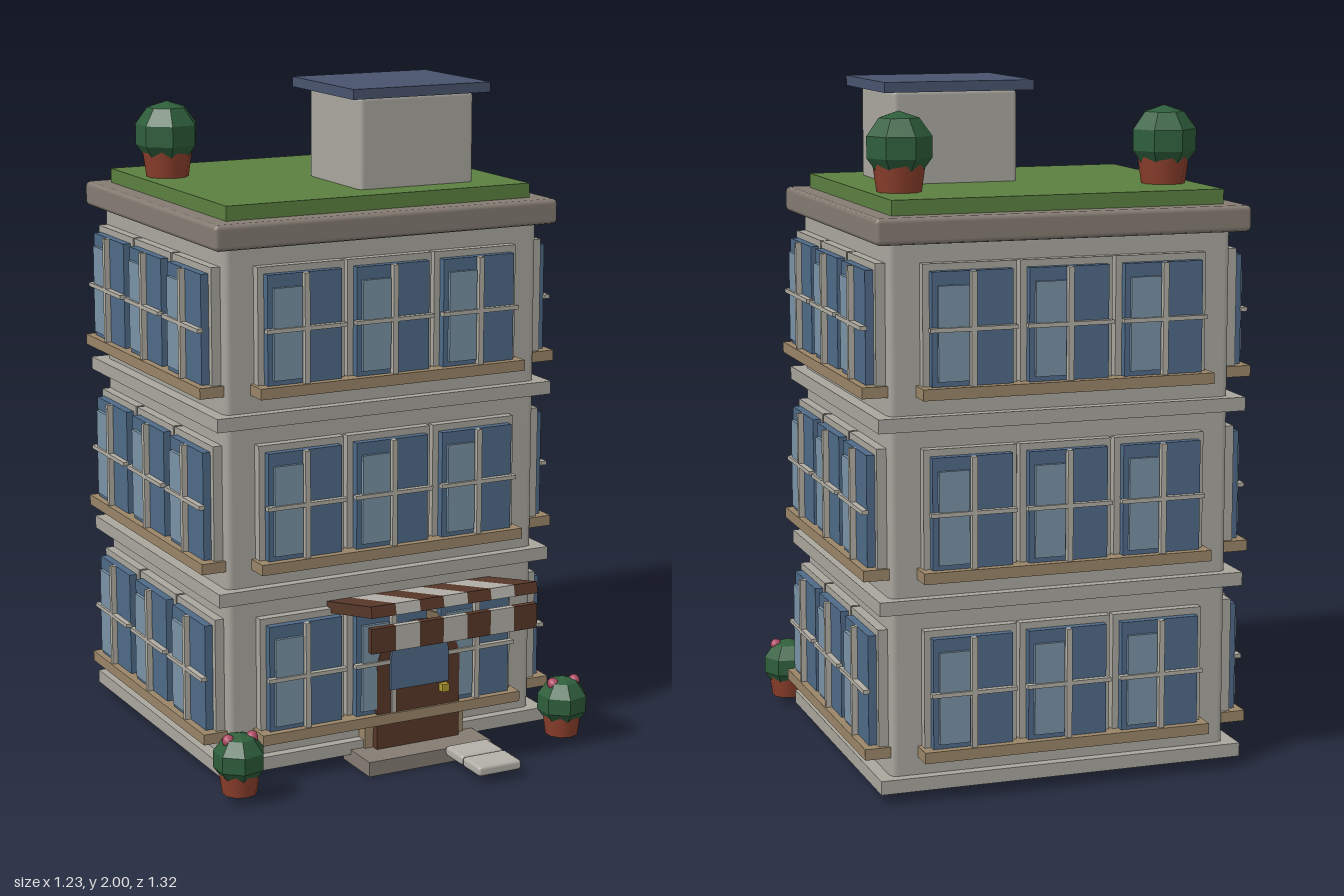
import * as THREE from 'three';
import { RoundedBoxGeometry } from 'three/addons/geometries/RoundedBoxGeometry.js';

const mat = (color, extra = {}) => new THREE.MeshStandardMaterial({ color, ...extra });
const M = {
  wall: mat(0xaaa79f), trim: mat(0xa9a69d), cornice: mat(0x857c73), sill: mat(0x9a8668),
  glass: mat(0x4f6a88), lightGlass: mat(0x7a93a6), bar: mat(0xb2aea4), brown: mat(0x583829),
  cream: mat(0xb4b1a9), grass: mat(0x5b8040), roof: mat(0x48546e), pot: mat(0x8c3f2c),
  leaf: mat(0x2e5e3b, { flatShading: true }), flower: mat(0xb04a64), brass: mat(0xb09a30),
};

function add(parent, name, geometry, material, x = 0, y = 0, z = 0) {
  const mesh = new THREE.Mesh(geometry, material);
  mesh.name = name;
  mesh.position.set(x, y, z);
  parent.add(mesh);
  return mesh;
}

// box given by its min and max on each axis, with an optional chamfer
function block(parent, name, material, [x0, x1], [y0, y1], [z0, z1], bevel = 0) {
  const s = [x1 - x0, y1 - y0, z1 - z0];
  const geo = bevel ? new RoundedBoxGeometry(...s, 1, bevel) : new THREE.BoxGeometry(...s);
  return add(parent, name, geo, material, (x0 + x1) / 2, (y0 + y1) / 2, (z0 + z1) / 2);
}

function group(parent, name, x = 0, y = 0, z = 0) {
  const g = new THREE.Group();
  g.name = name;
  g.position.set(x, y, z);
  parent.add(g);
  return g;
}

// one window, centred on its glass, with the wall at z = 0
function addWindow(parent, x, y) {
  const w = group(parent, 'window', x, y, 0);
  block(w, 'windowFrame', M.trim, [-0.137, 0.137], [-0.175, 0.18], [-0.01, 0.028]);
  block(w, 'windowGlass', M.glass, [-0.118, 0.118], [-0.16, 0.16], [0.02, 0.052]);
  block(w, 'lightPane', M.lightGlass, [-0.102, -0.012], [-0.145, 0.122], [0.05, 0.062]);
  block(w, 'windowMullion', M.bar, [-0.008, 0.008], [-0.16, 0.16], [0.05, 0.069]);
  block(w, 'windowCrossbar', M.bar, [-0.127, 0.127], [-0.006, 0.006], [0.05, 0.069]);
}

// arched panel: straight sides up to the spring line, then a half circle
function arch(radius, bottom, spring, depth) {
  const s = new THREE.Shape();
  s.moveTo(-radius, bottom);
  s.lineTo(radius, bottom);
  s.lineTo(radius, spring);
  s.absarc(0, spring, radius, 0, Math.PI, false);
  s.closePath();
  return new THREE.ExtrudeGeometry(s, { depth, bevelEnabled: false, curveSegments: 16 });
}

function addPlant(parent, x, y, z, scale, flowers) {
  const p = group(parent, 'pottedPlant', x, y, z);
  p.scale.setScalar(scale);
  add(p, 'pot', new THREE.CylinderGeometry(0.083, 0.064, 0.135, 10), M.pot, 0, 0.0675, 0);
  const bush = add(p, 'bush', new THREE.SphereGeometry(0.1, 7, 5), M.leaf, 0, 0.128, 0);
  bush.rotation.y = Math.PI;
  if (!flowers) return;
  for (const s of [-1, 1]) {
    add(p, 'flower', new THREE.SphereGeometry(0.023, 8, 6), M.flower, s * 0.047, 0.205, 0.006);
  }
}

export function createModel() {
  const model = new THREE.Group();
  model.name = 'building';
  const HX = 0.512, HZ = 0.447, CZ = -0.147;

  // walls, floor bands and cornice
  const house = group(model, 'house', 0, 0, CZ);
  block(house, 'walls', M.wall, [-HX, HX], [0.03, 1.6], [-HZ, HZ], 0.022);
  for (const y of [0.03, 0.548, 1.066]) {
    block(house, 'floorBand', M.trim, [-0.55, 0.55], [y, y + 0.04], [-0.477, 0.477]);
  }
  block(house, 'cornice', M.cornice, [-0.557, 0.557], [1.585, 1.66], [-0.491, 0.491], 0.014);
  block(house, 'grassRoof', M.grass, [-0.494, 0.494], [1.64, 1.703], [-0.427, 0.427]);

  // the same three-storey facade on each of the four sides
  for (let side = 0; side < 4; side++) {
    const turn = group(house, 'facadeSide');
    turn.rotation.y = (side * Math.PI) / 2;
    const facade = group(turn, 'facade', 0, 0, side % 2 ? HX : HZ);
    for (let floor = 0; floor < 3; floor++) {
      const y = 0.315 + floor * 0.518;
      for (const x of [-0.284, 0, 0.284]) addWindow(facade, x, y);
      block(facade, 'windowSill', M.sill, [-0.433, 0.433], [y - 0.193, y - 0.161], [-0.01, 0.072]);
    }
  }

  // stair head on the roof
  block(model, 'roofHut', M.wall, [-0.02, 0.36], [1.69, 1.975], [-0.155, 0.18], 0.016);
  block(model, 'roofHutCover', M.roof, [-0.057, 0.397], [1.97, 2.0], [-0.19, 0.209]);

  // arched door
  const door = group(model, 'door', 0.085, 0, 0);
  add(door, 'doorSurround', arch(0.168, 0.04, 0.285, 0.045), M.sill, 0, 0, 0.295);
  add(door, 'doorLeaf', arch(0.14, 0.045, 0.29, 0.024), M.brown, 0, 0, 0.34);
  add(door, 'doorGlass', arch(0.098, 0.228, 0.317, 0.013), M.glass, 0, 0, 0.36);
  add(door, 'doorKnob', new THREE.BoxGeometry(0.024, 0.024, 0.024), M.brass, 0.083, 0.21, 0.372);

  // doorstep and path slabs
  block(model, 'doorStep', M.cornice, [-0.125, 0.29], [0, 0.045], [0.28, 0.45]);
  for (const z of [0.448, 0.552]) {
    block(model, 'pathSlab', M.cream, [0.13, 0.275], [0.024, 0.055], [z, z + 0.103], 0.01);
  }

  // striped awning tilting up away from the wall, with a hanging valance
  const awning = group(model, 'awning', 0.085, 0, 0);
  const stripe = 0.55 / 7;
  for (let i = 0; i < 7; i++) {
    const x = (i - 3) * stripe, m = i % 2 ? M.cream : M.brown;
    const slab = add(awning, 'awningStripe', new THREE.BoxGeometry(stripe, 0.034, 0.292), m, x, 0.524, 0.442);
    slab.rotation.x = -0.215;
    add(awning, 'awningValance', new THREE.BoxGeometry(stripe, 0.075, 0.02), m, x, 0.468, 0.575);
  }

  // plants on the roof and beside the entrance
  for (const s of [-1, 1]) {
    addPlant(model, s * 0.402, 1.702, -0.345, 1, false);
    addPlant(model, s * 0.543, 0.026, 0.443, 0.8, true);
  }
  return model;
}
